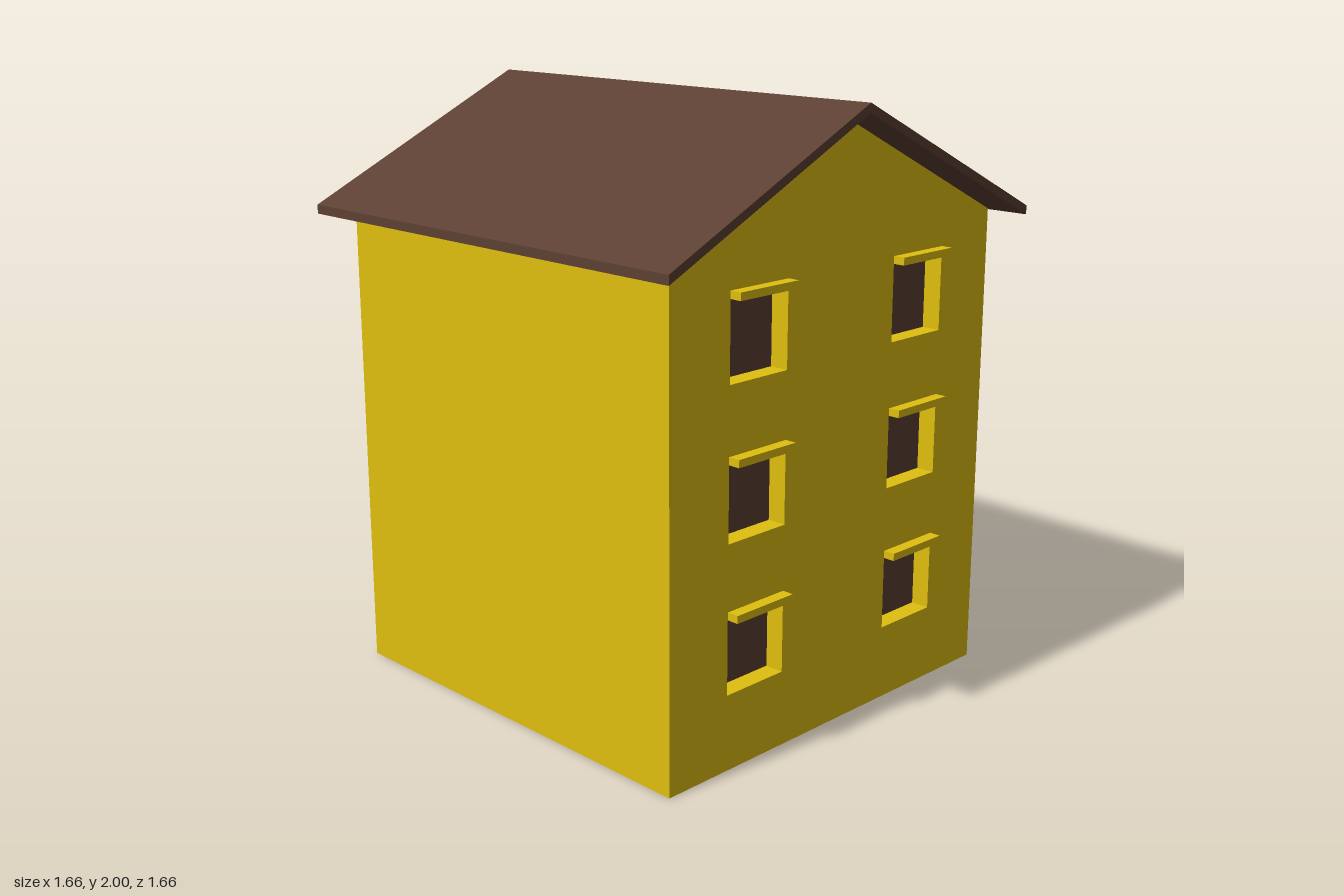
import * as THREE from 'three';

const HALF = 0.74;      // half width of the house
const REVEAL = 0.07;    // depth of window and door recesses
const EAVE = 1.595, PEAK = 1.95;
const ROWS = [[0.25, 0.495], [0.735, 0.98], [1.222, 1.475]]; // window bottoms and tops

const wallPaint = new THREE.MeshStandardMaterial({ color: 0xdfbf0f });
wallPaint.name = 'yellow wall';
const brown = new THREE.MeshStandardMaterial({ color: 0x5c4033 });
brown.name = 'dark brown';

function polygon(points) {
  return new THREE.Shape(points.map(([x, y]) => new THREE.Vector2(x, y)));
}

function extrude(name, shape, depth, z, material) {
  const geometry = new THREE.ExtrudeGeometry(shape, { depth, bevelEnabled: false });
  geometry.translate(0, 0, z);
  const mesh = new THREE.Mesh(geometry, material);
  mesh.name = name;
  return mesh;
}

function box(name, w, h, d, x, y, z, material) {
  const mesh = new THREE.Mesh(new THREE.BoxGeometry(w, h, d), material);
  mesh.name = name;
  mesh.position.set(x, y, z);
  return mesh;
}

const gableOutline = (h) => polygon([[-h, 0], [h, 0], [h, PEAK - (PEAK - EAVE) * h / HALF], [0, PEAK],
  [-h, PEAK - (PEAK - EAVE) * h / HALF]]);

// A pierced wall facing local +z; openings are [x0, x1, y0, y1, hasHood]
function piercedWall(name, outline, openings) {
  const group = new THREE.Group();
  group.name = name;
  for (const [x0, x1, y0, y1, hasHood] of openings) {
    outline.holes.push(new THREE.Path([[x0, y0], [x0, y1], [x1, y1], [x1, y0]]
      .map(([x, y]) => new THREE.Vector2(x, y))));
    const w = x1 - x0, x = (x0 + x1) / 2;
    group.add(box(hasHood ? 'windowPane' : 'door', w, y1 - y0, 0.006,
      x, (y0 + y1) / 2, HALF - REVEAL + 0.003, brown));
    if (hasHood) group.add(box('windowHood', w, 0.025, 0.04, x, y1 + 0.0125, HALF + 0.02, wallPaint));
  }
  group.add(extrude(name + 'Surface', outline, REVEAL, HALF - REVEAL, wallPaint));
  return group;
}

export function createModel() {
  const model = new THREE.Group();
  model.name = 'house';
  const inner = HALF - REVEAL;

  // Solid core, running from the front wall to the back recesses
  const slope = (PEAK - EAVE) / HALF;
  const coreShape = polygon([[-HALF, 0], [inner, 0], [inner, PEAK - slope * inner], [0, PEAK], [-HALF, EAVE]]);
  const core = extrude('core', coreShape, inner * 2, -inner, wallPaint);
  core.rotation.y = Math.PI / 2;
  model.add(core);

  // Gable walls with two columns of windows
  for (const side of [-1, 1]) {
    const openings = [];
    for (const [y0, y1] of ROWS) {
      openings.push([-0.495, -0.248, y0, y1, true], [0.248, 0.495, y0, y1, true]);
    }
    const gable = piercedWall(side > 0 ? 'leftGable' : 'rightGable', gableOutline(HALF), openings);
    gable.rotation.y = side * Math.PI / 2;
    model.add(gable);
  }

  // Back wall with a door between ground windows and two upper rows
  const backOpenings = [[-0.148, 0.148, 0.004, 0.487, false]];
  for (const s of [-1, 1]) {
    const add = (a, b, row) => backOpenings.push([Math.min(s * a, s * b), Math.max(s * a, s * b), ...ROWS[row], true]);
    add(0.297, 0.443, 0);
    for (const row of [1, 2]) {
      add(0.148, 0.297, row);
      add(0.443, 0.592, row);
    }
  }
  const backOutline = polygon([[-inner, 0], [inner, 0], [inner, EAVE], [-inner, EAVE]]);
  const back = piercedWall('backWall', backOutline, backOpenings);
  back.rotation.y = Math.PI;
  model.add(back);

  // Thin pitched roof floating just above the walls
  const roof = extrude('roof', polygon([[-0.83, 1.575], [0, 1.97], [0.83, 1.575],
    [0.83, 1.605], [0, 2], [-0.83, 1.605]]), 1.66, -0.83, brown);
  roof.rotation.y = Math.PI / 2;
  model.add(roof);

  return model;
}
